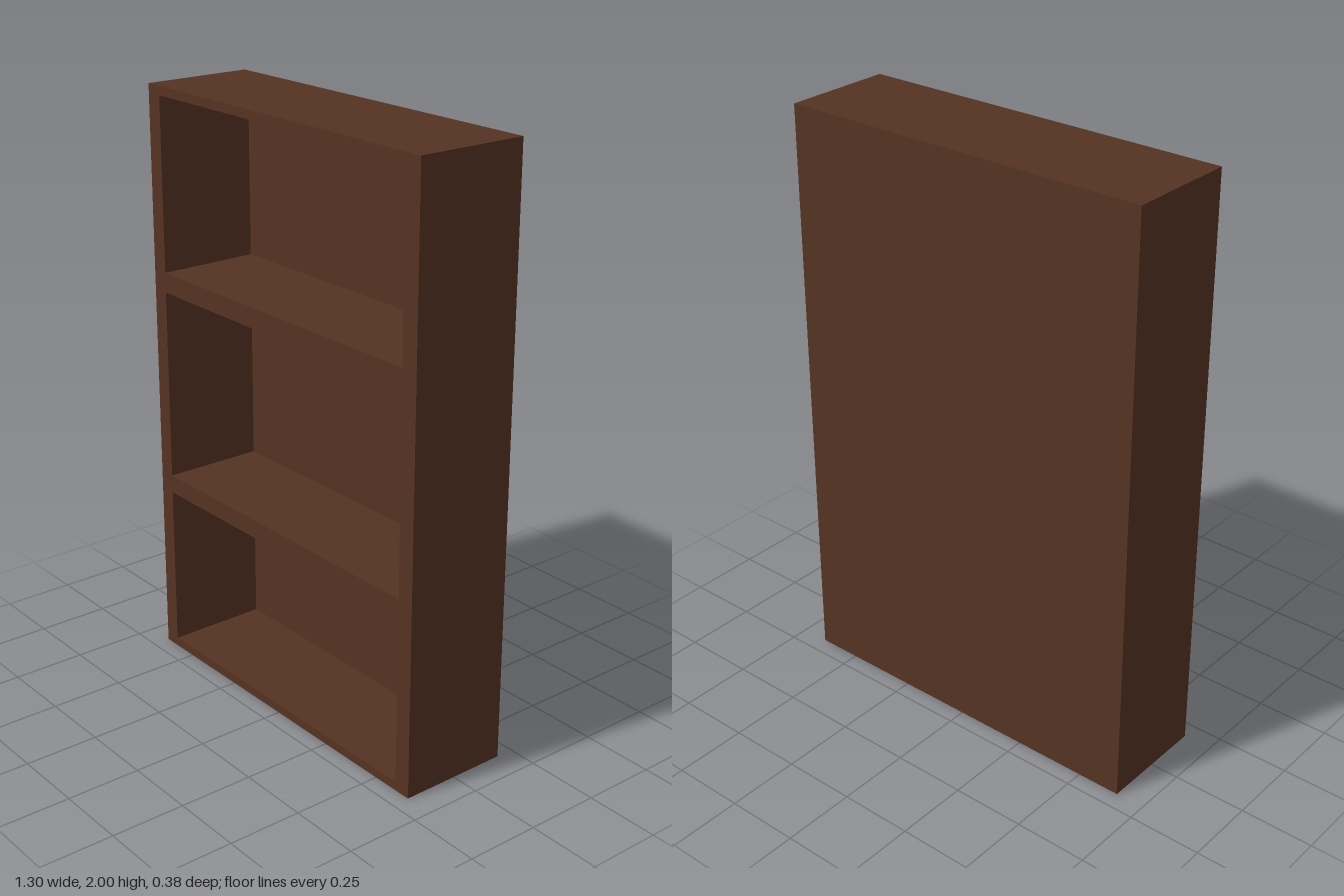
import * as THREE from 'three';

// Outer size and inner faces of the bookcase
const W = 0.651, H = 2, D = 0.19;
const INNER_X = 0.592, INNER_BACK = -0.16;

export function createModel() {
  const group = new THREE.Group();
  group.name = 'bookcase';
  const wood = new THREE.MeshStandardMaterial({ color: 0x553322 });
  wood.name = 'dark brown wood';

  // Board spanning the given minimum and maximum corners
  const board = (name, x0, x1, y0, y1, z0, z1) => {
    const mesh = new THREE.Mesh(new THREE.BoxGeometry(x1 - x0, y1 - y0, z1 - z0), wood);
    mesh.name = name;
    mesh.position.set((x0 + x1) / 2, (y0 + y1) / 2, (z0 + z1) / 2);
    group.add(mesh);
  };

  // Side panels and back panel
  board('leftSide', INNER_X, W, 0, H, -D, D);
  board('rightSide', -W, -INNER_X, 0, H, -D, D);
  board('backPanel', -INNER_X, INNER_X, 0, H, -D, INNER_BACK);

  // Horizontal boards: bottom, two shelves, top
  const levels = [
    ['bottomBoard', 0, 0.03],
    ['lowerShelf', 0.597, 0.66],
    ['upperShelf', 1.317, 1.385],
    ['topBoard', 1.97, H],
  ];
  for (const [name, y0, y1] of levels) board(name, -INNER_X, INNER_X, y0, y1, INNER_BACK, D);

  return group;
}
